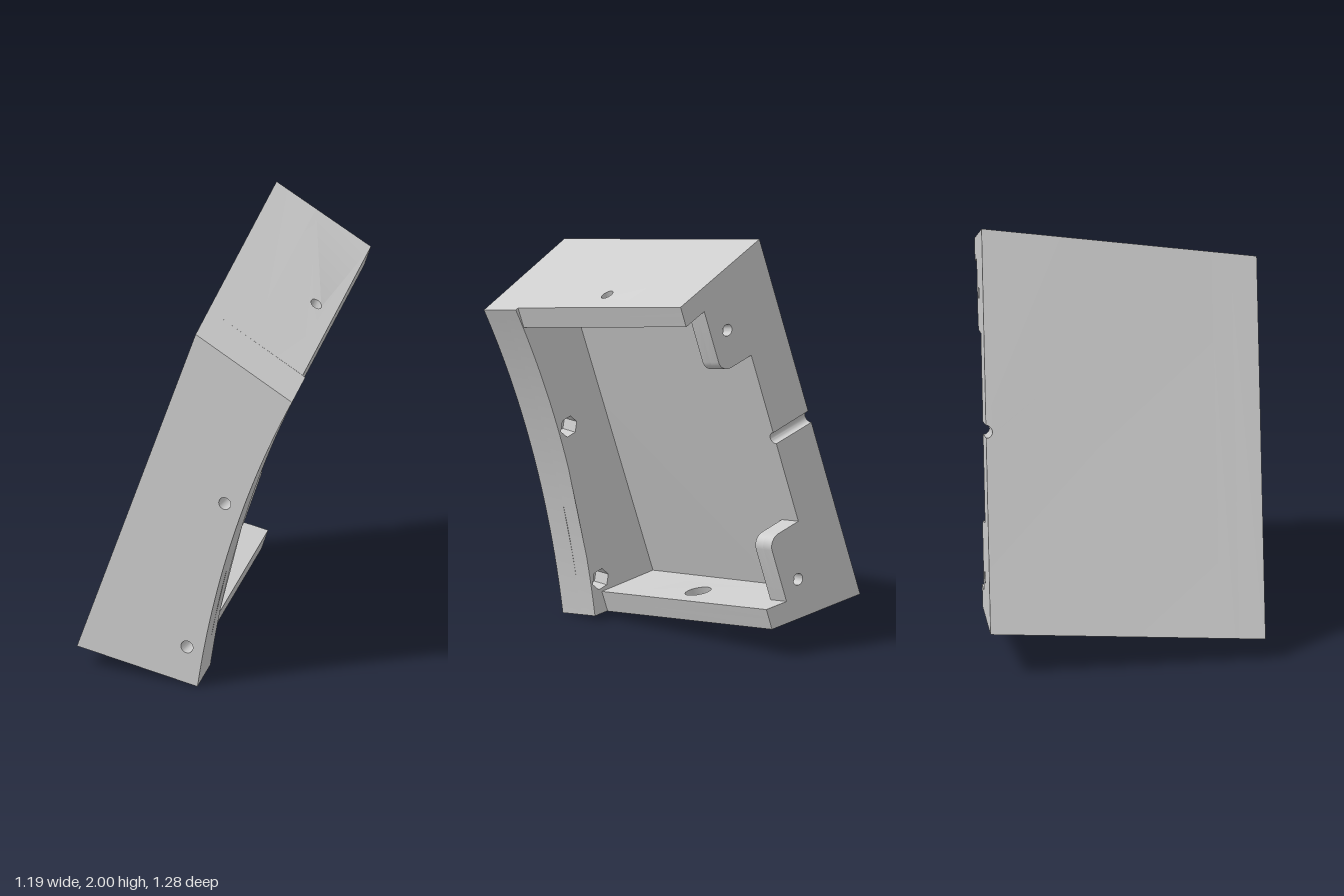
import * as THREE from 'three';
import { toCreasedNormals } from 'three/addons/utils/BufferGeometryUtils.js';

const V2 = (x, y) => new THREE.Vector2(x, y);
const FRONT = 0.64, BACK = -0.64, INNER = 0.43; // z of front face, back face, inside of front wall
const PANEL = 0.22, WALL = 0.105, RIM = 0.525, SLOPE = 0.165;
const material = new THREE.MeshStandardMaterial({ color: 0xcccccc });

// Leaning frame of the section at depth z: origin, panel length, axis across (u) and along (v)
function frame(z) {
  const f = (FRONT - z) / (FRONT - BACK);
  const o = V2(-0.475, 0.105).lerp(V2(-0.6, 0.22), f);
  const d = V2(0.115, 1.775).lerp(V2(0, 2), f).sub(o);
  const length = d.length();
  d.divideScalar(length);
  return { o, length, v: d, u: V2(d.y, -d.x) };
}

function place(u, v, z, fr = frame(z)) {
  return new THREE.Vector3(fr.o.x + fr.u.x * u + fr.v.x * v, fr.o.y + fr.u.y * u + fr.v.y * v, z);
}

function ring(x, y, r, sides, ry = r) {
  return Array.from({ length: sides }, (_, i) => {
    const a = (i / sides) * Math.PI * 2;
    return V2(x + r * Math.cos(a), y + ry * Math.sin(a));
  });
}

// Solid slab from a flat outline with holes; map(p, q, t, isHole) bends it into place, t from t0 to t1
function slab(name, outline, holes, t0, t1, map) {
  const contour = outline.slice();
  if (THREE.ShapeUtils.isClockWise(contour)) contour.reverse();
  const cuts = holes.map((h) => (THREE.ShapeUtils.isClockWise(h) ? h.slice() : h.slice().reverse()));
  const faces = THREE.ShapeUtils.triangulateShape(contour, cuts);
  const at = (t) => [contour, ...cuts].flatMap((loop, n) => loop.map((p) => map(p.x, p.y, t, n > 0)));
  const lo = at(t0), hi = at(t1);
  let tris = [];
  for (const [a, b, c] of faces) tris.push([hi[a], hi[b], hi[c]], [lo[c], lo[b], lo[a]]);
  let start = 0;
  for (const loop of [contour, ...cuts]) {
    for (let i = 0; i < loop.length; i++) {
      const a = start + i, b = start + ((i + 1) % loop.length);
      tris.push([lo[a], lo[b], hi[b]], [lo[a], hi[b], hi[a]]);
    }
    start += loop.length;
  }
  // Turn the faces outward if the mapping mirrored them
  let volume = 0;
  for (const [a, b, c] of tris) volume += a.dot(b.clone().cross(c));
  if (volume < 0) tris = tris.map(([a, b, c]) => [a, c, b]);
  const geometry = new THREE.BufferGeometry().setFromPoints(tris.flat());
  const mesh = new THREE.Mesh(toCreasedNormals(geometry, 0.5), material);
  mesh.name = name;
  return mesh;
}

export function createModel() {
  const group = new THREE.Group();
  group.name = 'angledBracket';

  // Side panel with a half-round notch in its back edge
  const panel = [V2(0, INNER), V2(1, INNER), V2(1, BACK)];
  for (let i = 0; i <= 12; i++) {
    const a = (i / 12) * Math.PI;
    panel.push(V2(0.5 + 0.016 * Math.cos(a), BACK + 0.03 * Math.sin(a)));
  }
  panel.push(V2(0, BACK));
  group.add(slab('sidePanel', panel, [], 0, PANEL, (w, z, u) => {
    const L = frame(z).length;
    return place(u, SLOPE * u + w * (L - 2 * SLOPE * u), z);
  }));

  // Front wall with a concave edge, bolt holes and hexagonal nut pockets behind them
  const lengthFront = frame(FRONT).length;
  const edge = new THREE.QuadraticBezierCurve(V2(0.6, 0.1), V2(0.442, 0.898), V2(0.54, lengthFront - 0.089));
  const frontOutline = [V2(0, 0), ...edge.getPoints(28), V2(0, lengthFront)];
  const bolts = [[0.413, 1.037], [0.487, 0.263]];
  const frontMap = (u, v, z, isHole) => {
    if (isHole) return place(u, v, z, frame(FRONT));
    const fr = frame(z);
    return place(u, (v * fr.length) / lengthFront, z, fr);
  };
  group.add(slab('frontWall', frontOutline, bolts.map(([u, v]) => ring(u, v, 0.03, 24)), 0.52, FRONT, frontMap));
  group.add(slab('frontWallNutPockets', frontOutline, bolts.map(([u, v]) => ring(u, v, 0.05, 6)), INNER, 0.52, frontMap));

  // Top and bottom parts are mirrored along the panel
  for (const [side, top] of [['bottom', false], ['top', true]]) {
    const mirrored = (u, v, z) => {
      const fr = frame(z);
      return place(u, top ? fr.length - v : v, z, fr);
    };

    // Wall with a screw hole, wider on the inside
    const wall = [V2(PANEL, INNER), V2(RIM, INNER), V2(RIM, BACK), V2(PANEL, BACK)];
    const wallMap = (u, z, t) => mirrored(u, SLOPE * u + t, z);
    const hole = [top ? 0.426 : 0.4, -0.06];
    group.add(slab(side + 'Wall', wall, [ring(...hole, 0.028, 24)], 0, WALL / 2, wallMap));
    group.add(slab(side + 'WallCounterbore', wall, [ring(...hole, 0.058, 24)], WALL / 2, WALL, wallMap));

    // Back corner tab with a rounded corner, bolt hole and nut pocket
    const r = 0.06, out = 0.405, end = 0.5;
    const tab = [V2(PANEL, SLOPE * PANEL + WALL), V2(out, SLOPE * out + WALL)];
    for (let i = 0; i <= 8; i++) {
      const a = (i / 8) * Math.PI / 2;
      tab.push(V2(out - r + r * Math.cos(a), end - r + r * Math.sin(a)));
    }
    tab.push(V2(PANEL, end));
    const centre = [0.31, top ? 0.32 : 0.24];
    group.add(slab(side + 'Tab', tab, [ring(...centre, 0.028, 24)], BACK, -0.585, mirrored));
    group.add(slab(side + 'TabNutPocket', tab, [ring(...centre, 0.05, 6)], -0.585, -0.535, mirrored));
  }
  return group;
}
